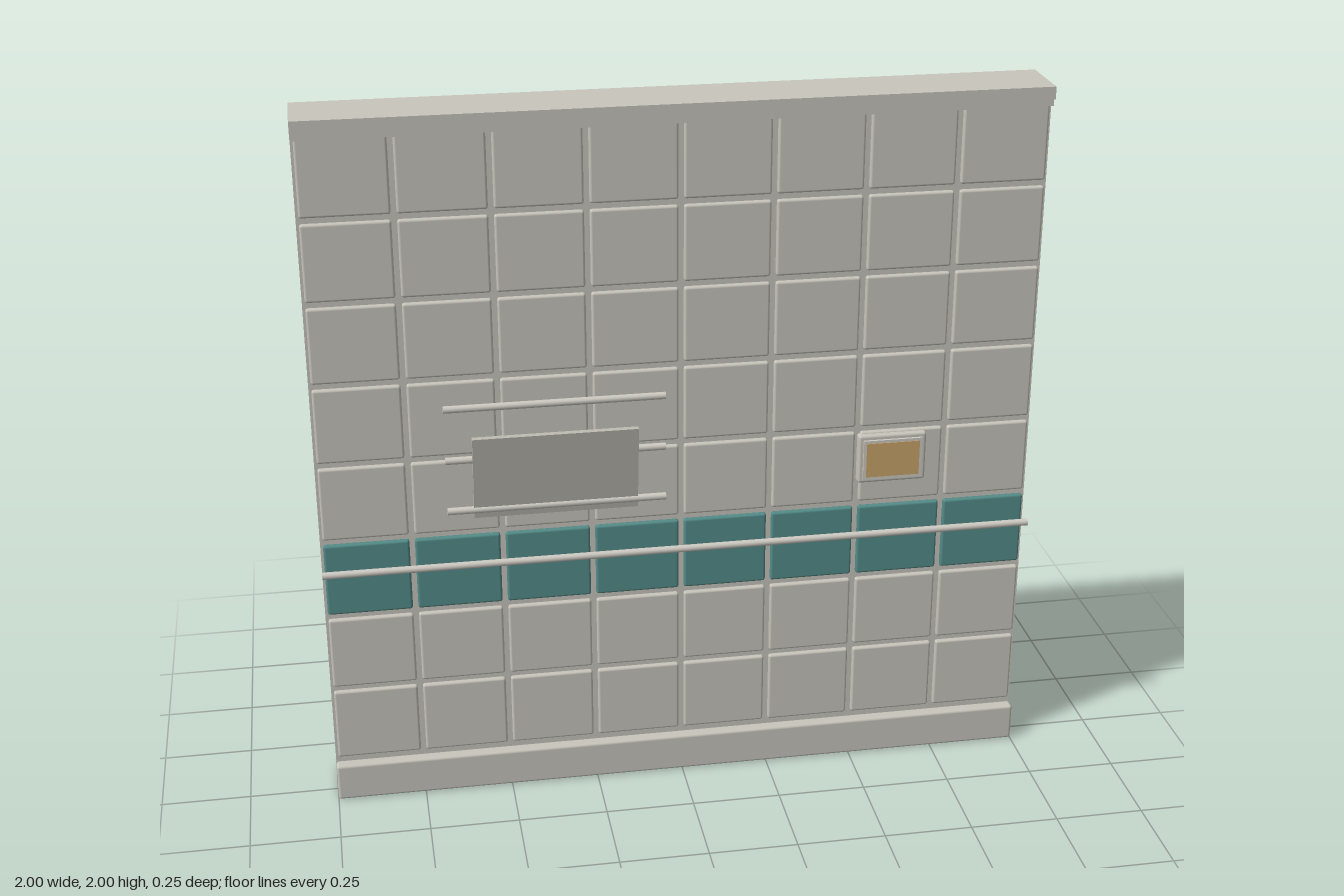
import * as THREE from 'three';
import { RoundedBoxGeometry } from 'three/addons/geometries/RoundedBoxGeometry.js';

const mat = (name, color) => {
  const m = new THREE.MeshStandardMaterial({ color });
  m.name = name;
  return m;
};

export function createModel() {
  const model = new THREE.Group();
  model.name = 'tiledWall';
  const stone = mat('warm grey', 0xc8c5bc);
  const teal = mat('teal', 0x548c89);
  const metal = mat('pale metal', 0xcecbc3);
  const panelGrey = mat('panel grey', 0xbcb9b0);
  const ochre = mat('ochre', 0xc9a469);

  const add = (name, geometry, material, x, y, z) => {
    const mesh = new THREE.Mesh(geometry, material);
    mesh.name = name;
    mesh.position.set(x, y, z);
    model.add(mesh);
    return mesh;
  };
  const box = (w, h, d) => new THREE.BoxGeometry(w, h, d);
  const rod = (name, length, x, y, z) => {
    const g = new THREE.CylinderGeometry(0.01, 0.01, length, 12).rotateZ(Math.PI / 2);
    return add(name, g, metal, x, y, z);
  };

  // Wall slab
  add('wall', box(2, 2, 0.15), stone, 0, 1, -0.048);

  // Grid of softened tiles, one row in teal
  const tile = new RoundedBoxGeometry(0.235, 0.213, 0.018, 2, 0.007);
  for (let row = 0; row < 8; row++) {
    for (let col = 0; col < 8; col++) {
      add(row === 2 ? 'accentTile' : 'tile', tile, row === 2 ? teal : stone,
        -0.875 + col * 0.25, 0.237 + row * 0.2298, 0.034);
    }
  }

  // Skirting and stepped cornice
  add('skirting', new RoundedBoxGeometry(2, 0.11, 0.036, 2, 0.008), stone, 0, 0.057, 0.046);
  add('cornice', box(2, 0.035, 0.033), stone, 0, 1.9825, 0.0425);
  add('corniceLip', box(2, 0.02, 0.02), stone, 0, 1.955, 0.037);

  // Long handrail and the three rack rods
  rod('handrail', 2, 0, 0.73, 0.074);
  for (const y of [0.905, 1.055, 1.205]) rod('rackRod', 0.6, -0.352, y, 0.09);

  // Tilted panel resting on the rack
  const panel = add('rackPanel', box(0.45, 0.248, 0.014), panelGrey, -0.355, 1.004, 0.1);
  panel.rotation.x = 0.13;

  // Control box with raised frame and coloured face
  add('controlBox', new RoundedBoxGeometry(0.195, 0.145, 0.03, 2, 0.008), stone, 0.597, 0.955, 0.042);
  add('controlFrame', box(0.168, 0.118, 0.008), metal, 0.597, 0.955, 0.06);
  add('controlFace', box(0.152, 0.102, 0.004), ochre, 0.597, 0.955, 0.064);

  return model;
}
